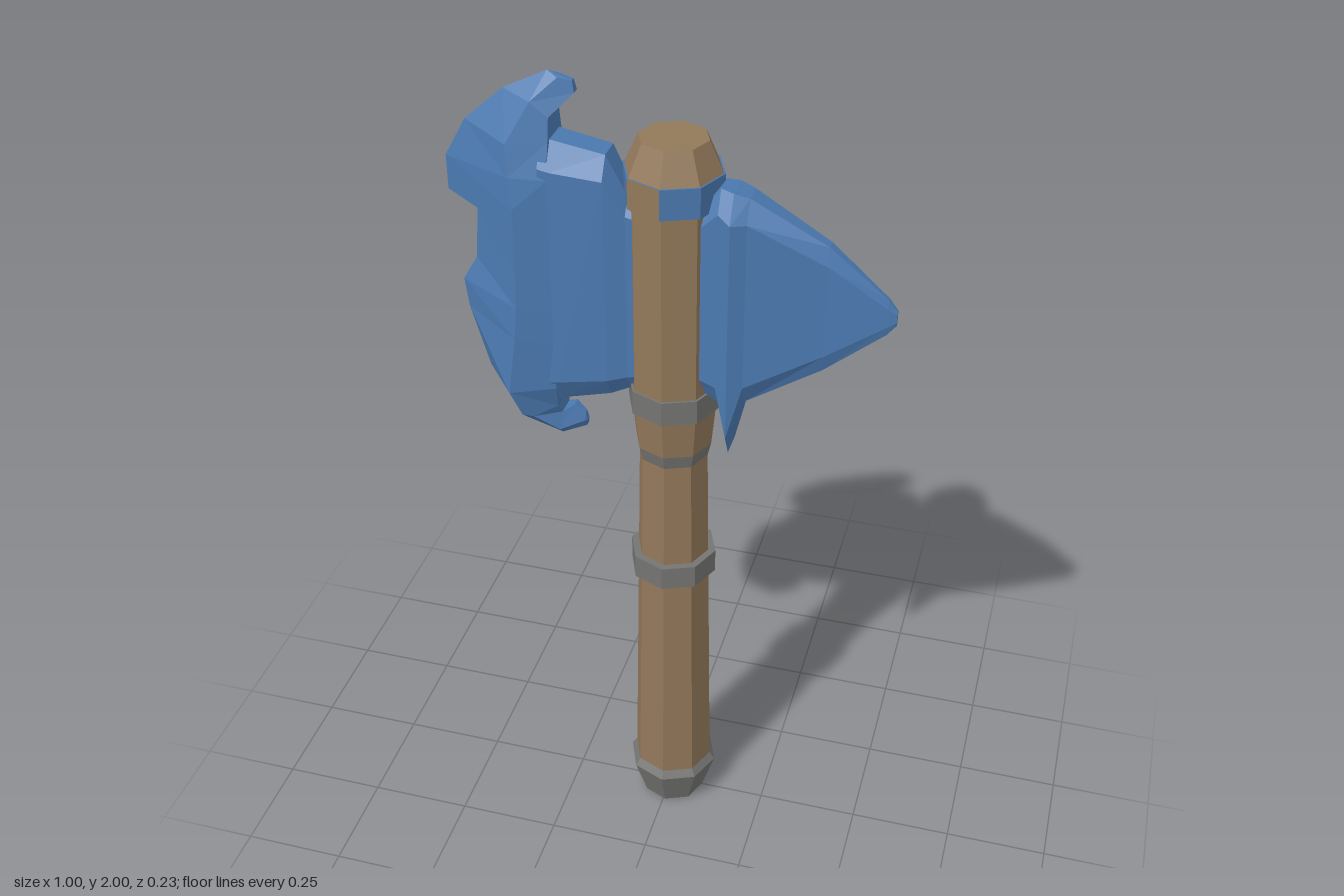
import * as THREE from 'three';

export function createModel() {
  const mat = (name, color) => {
    const m = new THREE.MeshStandardMaterial({ color, flatShading: true });
    m.name = name;
    return m;
  };
  const wood = mat('wood', 0x92785a);
  const iron = mat('iron', 0x747472);
  const steel = mat('blue steel', 0x4b79b0);

  const group = new THREE.Group();
  const add = (name, geo, material, x = 0, y = 0, z = 0) => {
    const flat = geo.index ? geo.toNonIndexed() : geo;
    flat.computeVertexNormals();
    const mesh = new THREE.Mesh(flat, material);
    mesh.name = name;
    mesh.position.set(x, y, z);
    group.add(mesh);
  };

  // Joins equal-sized rings of points into a closed solid, facing outward
  const loft = (rings) => {
    const n = rings[0].length;
    const tris = [];
    for (let r = 0; r < rings.length - 1; r++) {
      for (let i = 0; i < n; i++) {
        const j = (i + 1) % n;
        const a = rings[r][i], b = rings[r][j], c = rings[r + 1][j], d = rings[r + 1][i];
        tris.push([a, b, c], [a, c, d]);
      }
    }
    const first = rings[0], last = rings[rings.length - 1];
    for (let i = 1; i < n - 1; i++) {
      tris.push([first[0], first[i + 1], first[i]], [last[0], last[i], last[i + 1]]);
    }
    const volume = tris.reduce((s, [a, b, c]) => s + a.dot(b.clone().cross(c)), 0);
    if (volume < 0) tris.forEach((t) => t.reverse());
    return new THREE.BufferGeometry().setFromPoints(tris.flat());
  };
  const v = (x, y, z) => new THREE.Vector3(x, y, z);

  // Bevelled upright section at x, from y0 to y1, half thickness h
  const section = ([x, y0, y1, h, bevel]) => [
    v(x, y0, h * 0.5), v(x, y0 + bevel, h), v(x, y1 - bevel, h), v(x, y1, h * 0.5),
    v(x, y1, -h * 0.5), v(x, y1 - bevel, -h), v(x, y0 + bevel, -h), v(x, y0, -h * 0.5),
  ];

  // Eight-sided handle pieces: [name, bottom y, top y, bottom radius, top radius, material]
  const cx = 0.006;
  [
    ['pommel', 0, 0.105, 0.08, 0.113, iron],
    ['pommelRim', 0.105, 0.125, 0.113, 0.1, iron],
    ['grip', 0.12, 1.09, 0.1, 0.082, wood],
    ['gripBand', 0.75, 0.81, 0.105, 0.105, iron],
    ['neckInlay', 1.09, 1.125, 0.082, 0.09, iron],
    ['neck', 1.125, 1.23, 0.09, 0.1, wood],
    ['headShaft', 1.23, 1.76, 0.1, 0.1, wood],
    ['topCap', 1.81, 1.88, 0.108, 0.077, wood],
  ].forEach(([name, y0, y1, r0, r1, m]) =>
    add(name, new THREE.CylinderGeometry(r1, r0, y1 - y0, 8), m, cx, (y0 + y1) / 2));

  // Bands with one side in a different colour
  const band = (name, y0, y1, r, main, other, side) => {
    const geo = new THREE.CylinderGeometry(r, r, y1 - y0, 8);
    geo.clearGroups();
    for (let i = 0; i < 8; i++) geo.addGroup(i * 6, 6, i === side ? 1 : 0);
    geo.addGroup(48, 48, 0);
    add(name, geo, [main, other], cx, (y0 + y1) / 2);
  };
  band('topCollar', 1.74, 1.81, 0.112, steel, wood, 7);
  band('lowerCollar', 1.225, 1.285, 0.106, iron, steel, 4);

  // Blade rows: edge x y, ridge x y, back x y, ridge and back half thickness
  const bladeRows = [
    [-0.26, 2.0, -0.235, 1.99, -0.205, 1.985, 0.012, 0.006],
    [-0.36, 1.95, -0.29, 1.94, -0.2, 1.96, 0.035, 0.01],
    [-0.45, 1.87, -0.34, 1.85, -0.25, 1.91, 0.06, 0.035],
    [-0.5, 1.78, -0.335, 1.78, -0.25, 1.86, 0.072, 0.045],
    [-0.5, 1.7, -0.325, 1.71, -0.25, 1.78, 0.08, 0.064],
    [-0.435, 1.67, -0.325, 1.66, -0.25, 1.68, 0.08, 0.064],
    [-0.445, 1.54, -0.325, 1.55, -0.25, 1.55, 0.08, 0.064],
    [-0.48, 1.48, -0.328, 1.47, -0.25, 1.46, 0.082, 0.064],
    [-0.472, 1.41, -0.335, 1.39, -0.25, 1.38, 0.083, 0.064],
    [-0.43, 1.26, -0.355, 1.245, -0.25, 1.26, 0.085, 0.06],
    [-0.36, 1.13, -0.31, 1.17, -0.255, 1.2, 0.055, 0.04],
    [-0.26, 1.1, -0.255, 1.13, -0.25, 1.175, 0.035, 0.025],
    [-0.2, 1.13, -0.2, 1.15, -0.225, 1.19, 0.012, 0.012],
    [-0.195, 1.14, -0.195, 1.15, -0.2, 1.17, 0.005, 0.005],
  ];
  const bladeZ = 0.014;
  add('blade', loft(bladeRows.map(([ex, ey, rx, ry, bx, by, rz, bz]) => [
    v(ex, ey, 0), v(rx, ry, rz), v(bx, by, bz), v(bx, by, -bz), v(rx, ry, -rz),
  ])), steel, 0, 0, bladeZ);

  // Bridge between blade and shaft
  add('bladeNeck', loft([
    [-0.27, 1.215, 1.865, 0.064, 0.06],
    [-0.245, 1.22, 1.86, 0.064, 0.06],
    [-0.13, 1.25, 1.84, 0.058, 0.05],
    [-0.085, 1.27, 1.75, 0.045, 0.04],
    [-0.04, 1.28, 1.74, 0.045, 0.04],
  ].map(section)), steel, 0, 0, bladeZ);

  // Tapered rear spike with a downward spur near the shaft
  add('spike', loft([
    [0.06, 1.3, 1.73, 0.045, 0.04],
    [0.118, 1.27, 1.795, 0.05, 0.05],
    [0.147, 1.14, 1.79, 0.065, 0.06],
    [0.18, 1.28, 1.78, 0.05, 0.05],
    [0.35, 1.385, 1.685, 0.025, 0.04],
    [0.48, 1.49, 1.575, 0.009, 0.02],
    [0.5, 1.515, 1.55, 0.005, 0.008],
  ].map(section)), steel, 0, 0, bladeZ);

  return group;
}
